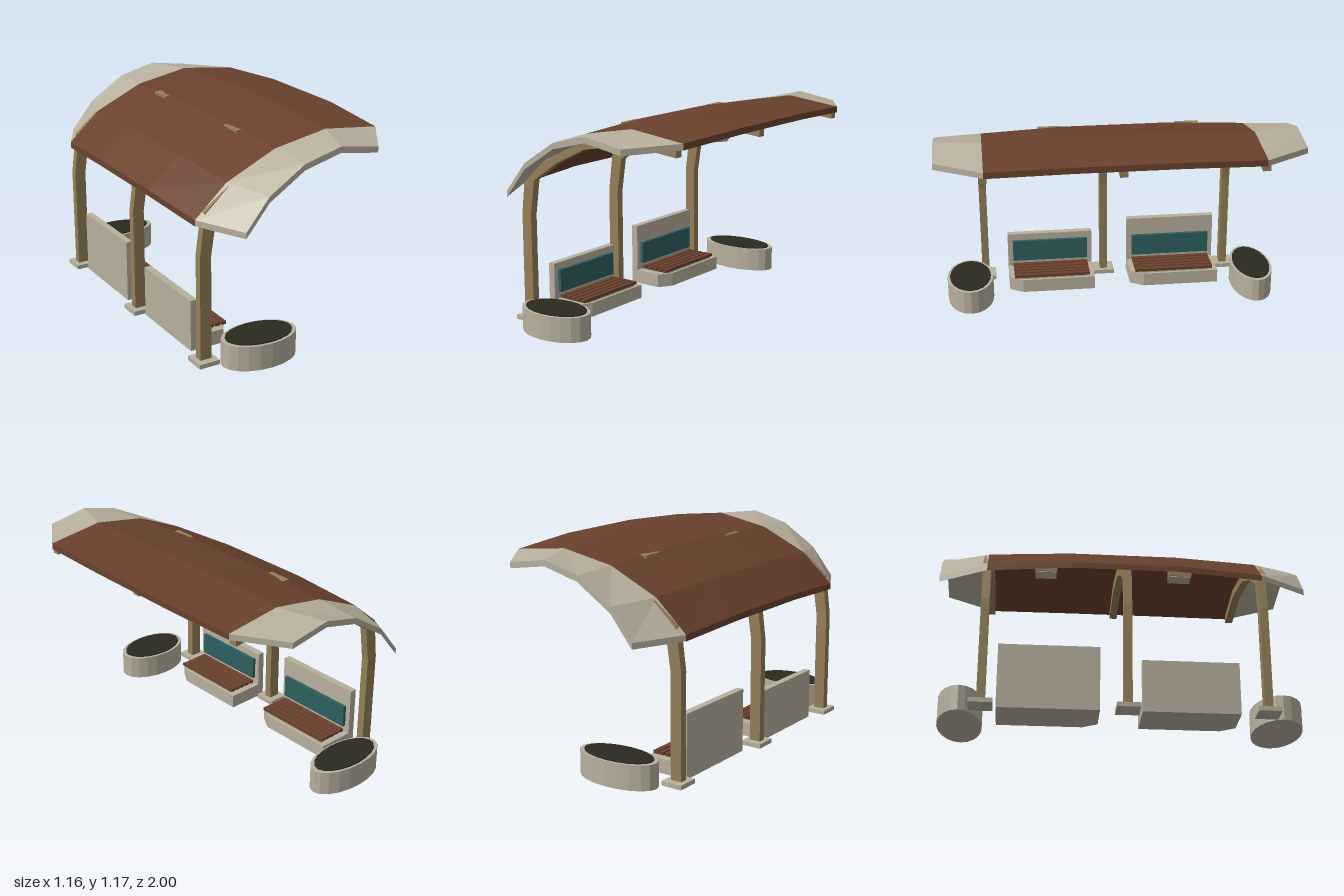
import * as THREE from 'three';

const mat = (name, color) => Object.assign(new THREE.MeshStandardMaterial({ color }), { name });

export function createModel() {
  const concrete = mat('pale concrete', 0xb8b09e);
  const roofBrown = mat('roof brown', 0x6a412d);
  const timber = mat('tan timber', 0x947f58);
  const teal = mat('teal panel', 0x2e5f60);
  const soilDark = mat('dark soil', 0x2b2a20);

  const group = new THREE.Group();
  group.name = 'shelter';

  const add = (parent, name, geometry, material) => {
    const mesh = new THREE.Mesh(geometry, material);
    mesh.name = name;
    parent.add(mesh);
    return mesh;
  };
  // box given by its minimum and maximum on each axis
  const box = (parent, name, material, x0, x1, y0, y1, z0, z1) => {
    const mesh = add(parent, name, new THREE.BoxGeometry(x1 - x0, y1 - y0, z1 - z0), material);
    mesh.position.set((x0 + x1) / 2, (y0 + y1) / 2, (z0 + z1) / 2);
    return mesh;
  };
  const flat = (geometry) => {
    const g = geometry.index ? geometry.toNonIndexed() : geometry;
    g.computeVertexNormals();
    return g;
  };

  // closed slab lofted through arched profiles ordered by rising z
  const slab = (sections, thickness) => {
    const rings = sections.map(([z, pts]) => [
      ...pts.map(([x, y]) => [x, y, z]),
      ...pts.map(([x, y]) => [x, y - thickness, z]).reverse(),
    ]);
    const pos = [];
    const quad = (a, b, c, d) => pos.push(...a, ...b, ...c, ...a, ...c, ...d);
    const n = rings[0].length;
    for (let i = 0; i < rings.length - 1; i++) {
      for (let j = 0; j < n; j++) {
        const k = (j + 1) % n;
        quad(rings[i][j], rings[i + 1][j], rings[i + 1][k], rings[i][k]);
      }
    }
    const first = rings[0], last = rings[rings.length - 1];
    for (let j = 0; j < n / 2 - 1; j++) {
      quad(last[j], last[n - 1 - j], last[n - 2 - j], last[j + 1]);
      quad(first[j], first[j + 1], first[n - 2 - j], first[n - 1 - j]);
    }
    const g = new THREE.BufferGeometry();
    g.setAttribute('position', new THREE.Float32BufferAttribute(pos, 3));
    return flat(g);
  };

  // arched roof with tapering pale ends
  const middle = [[-0.58, 0.82], [-0.39, 0.98], [-0.09, 1.113], [0.235, 1.17], [0.58, 1.13]];
  const seam = [[-0.558, 0.797], [-0.375, 0.962], [-0.09, 1.092], [0.22, 1.148], [0.545, 1.11]];
  const tip = [[-0.42, 0.79], [-0.288, 0.952], [-0.083, 1.083], [0.13, 1.137], [0.364, 1.1]];
  add(group, 'roof', slab([[-0.74, seam], [-0.29, middle], [0.29, middle], [0.74, seam]], 0.034), roofBrown);
  add(group, 'frontRoofEnd', slab([[0.74, seam], [1, tip]], 0.033), concrete);
  add(group, 'backRoofEnd', slab([[-1, tip], [-0.74, seam]], 0.033), concrete);

  // bent posts that carry on as roof ribs, each on a foot plate
  const rib = new THREE.Shape([
    [-0.545, 0.02], [-0.48, 0.02], [-0.48, 0.6], [-0.45, 0.8], [-0.287, 0.912], [-0.085, 1.012],
    [0.23, 1.067], [0.52, 1.039], [0.52, 1.09], [0.23, 1.128], [-0.09, 1.075],
    [-0.38, 0.95], [-0.515, 0.836], [-0.545, 0.605],
  ].map(([x, y]) => new THREE.Vector2(x, y)));
  for (const z of [0.745, 0.014, -0.742]) {
    const post = add(group, 'postAndRib',
      new THREE.ExtrudeGeometry(rib, { depth: 0.044, bevelEnabled: false }), timber);
    post.position.z = z - 0.022;
    box(group, 'footPlate', concrete, -0.572, -0.452, 0, 0.025, z - 0.062, z + 0.062);
  }

  // lamps under the roof
  for (const z of [0.357, -0.42]) {
    box(group, 'lampBox', timber, -0.122, -0.028, 1.012, 1.107, z - 0.064, z + 0.064);
    box(group, 'lampLens', concrete, -0.116, -0.034, 1.007, 1.012, z - 0.058, z + 0.058);
  }

  // benches: base with one cut corner, slats, back and inset panel
  const bench = (name, z0, z1, backTop) => {
    const b = new THREE.Group();
    b.name = name;
    group.add(b);
    const plan = new THREE.Shape([
      [-0.51, -z0], [-0.51, -z1], [-0.31, -z1], [-0.26, -z1 + 0.08], [-0.26, -z0],
    ].map(([x, y]) => new THREE.Vector2(x, y)));
    const base = new THREE.ExtrudeGeometry(plan, { depth: 0.08, bevelEnabled: false });
    add(b, 'benchBase', base.rotateX(-Math.PI / 2), concrete);
    box(b, 'benchBack', concrete, -0.51, -0.47, 0.08, backTop, z0, z1);
    box(b, 'backPanel', teal, -0.47, -0.45, 0.12, 0.25, z0 + 0.03, z1 - 0.03);
    box(b, 'slatSupport', concrete, -0.47, -0.275, 0.08, 0.09, z0 + 0.05, z1 - 0.06);
    for (let i = 0; i < 5; i++) {
      const x = -0.455 + i * 0.038;
      box(b, 'seatSlat', roofBrown, x, x + 0.029, 0.088, 0.105, z0 + 0.03, z1 - 0.03);
    }
  };
  bench('frontBench', 0.09, 0.605, 0.29);
  bench('backBench', -0.665, -0.13, 0.357);

  // oval planters with soil
  const oval = (rx, rz, h) => flat(new THREE.CylinderGeometry(1, 1, h, 20).scale(rx, 1, rz));
  const planter = (name, x, z, rx, rz) => {
    const p = new THREE.Group();
    p.name = name;
    p.position.set(x, 0, z);
    group.add(p);
    add(p, 'planterTub', oval(rx, rz, 0.138), concrete).position.y = 0.069;
    add(p, 'soil', oval(rx * 0.89, rz * 0.89, 0.008), soilDark).position.y = 0.14;
  };
  planter('frontPlanter', -0.238, 0.84, 0.217, 0.136);
  planter('backPlanter', -0.22, -0.86, 0.24, 0.12);

  return group;
}
